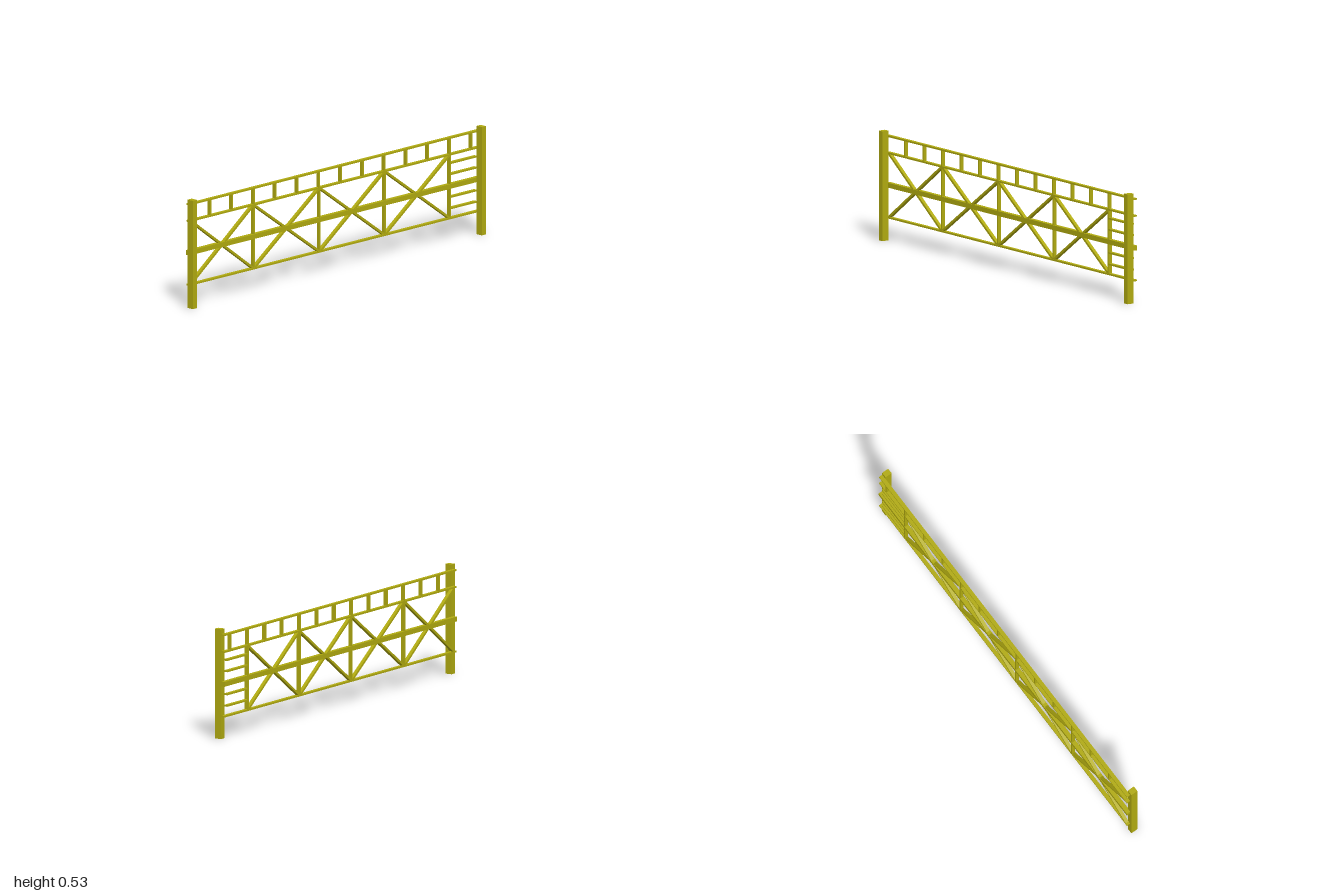
import * as THREE from 'three';

const paint = new THREE.MeshStandardMaterial({ color: 0xb0aa10, flatShading: true });

function box(parent, name, w, h, d, x, y, z = 0) {
  const mesh = new THREE.Mesh(new THREE.BoxGeometry(w, h, d), paint);
  mesh.name = name;
  mesh.position.set(x, y, z);
  parent.add(mesh);
  return mesh;
}

// Straight bar between two points in the plane of the gate
function brace(parent, name, x1, y1, x2, y2, thick, depth) {
  const bar = box(parent, name, Math.hypot(x2 - x1, y2 - y1), thick, depth, (x1 + x2) / 2, (y1 + y2) / 2);
  bar.rotation.z = Math.atan2(y2 - y1, x2 - x1);
}

export function createModel() {
  const model = new THREE.Group();
  model.name = 'gate';

  // Posts, the left one standing slightly further forward
  const postH = 0.527;
  box(model, 'rightPost', 0.028, postH, 0.035, -0.986, postH / 2, 0.0035);
  box(model, 'leftPost', 0.028, postH, 0.035, 0.986, postH / 2, 0.0175);

  // Gate leaf, hung at a very slight angle behind the posts
  const leaf = new THREE.Group();
  leaf.name = 'gateLeaf';
  leaf.position.z = -0.016;
  leaf.rotation.y = -0.0065;
  model.add(leaf);

  const bottom = 0.109, middle = 0.265, upper = 0.419, top = 0.5;
  const bar = 0.008, depth = 0.019;

  // Long horizontal rails
  for (const [name, y] of [['bottomRail', bottom], ['upperRail', upper], ['topRail', top]]) {
    box(leaf, name, 1.988, bar, depth, 0.005, y);
  }
  box(leaf, 'middleRail', 1.99, 0.023, 0.022, 0.005, middle);

  // Crossed braces in four bays, with an upright closing each bay
  const bays = [-0.975, -0.545, -0.095, 0.35, 0.795];
  for (let i = 0; i < 4; i++) {
    const a = bays[i], b = bays[i + 1];
    brace(leaf, 'risingBrace', a, bottom, b, upper, 0.011, 0.017);
    brace(leaf, 'fallingBrace', a, upper, b, bottom, 0.011, 0.0165);
    box(leaf, 'upright', bar, upper - bottom, depth - 0.001, b, (upper + bottom) / 2);
  }

  // Short spindles between the two upper rails
  for (let i = 0; i < 13; i++) {
    box(leaf, 'spindle', bar, top - upper, depth - 0.001, -0.842 + i * 0.1487, (top + upper) / 2);
  }

  // Ladder rungs in the end bay
  for (const y of [0.157, 0.212, 0.323, 0.377]) {
    box(leaf, 'rung', 0.18, bar, depth, 0.885, y);
  }
  return model;
}
